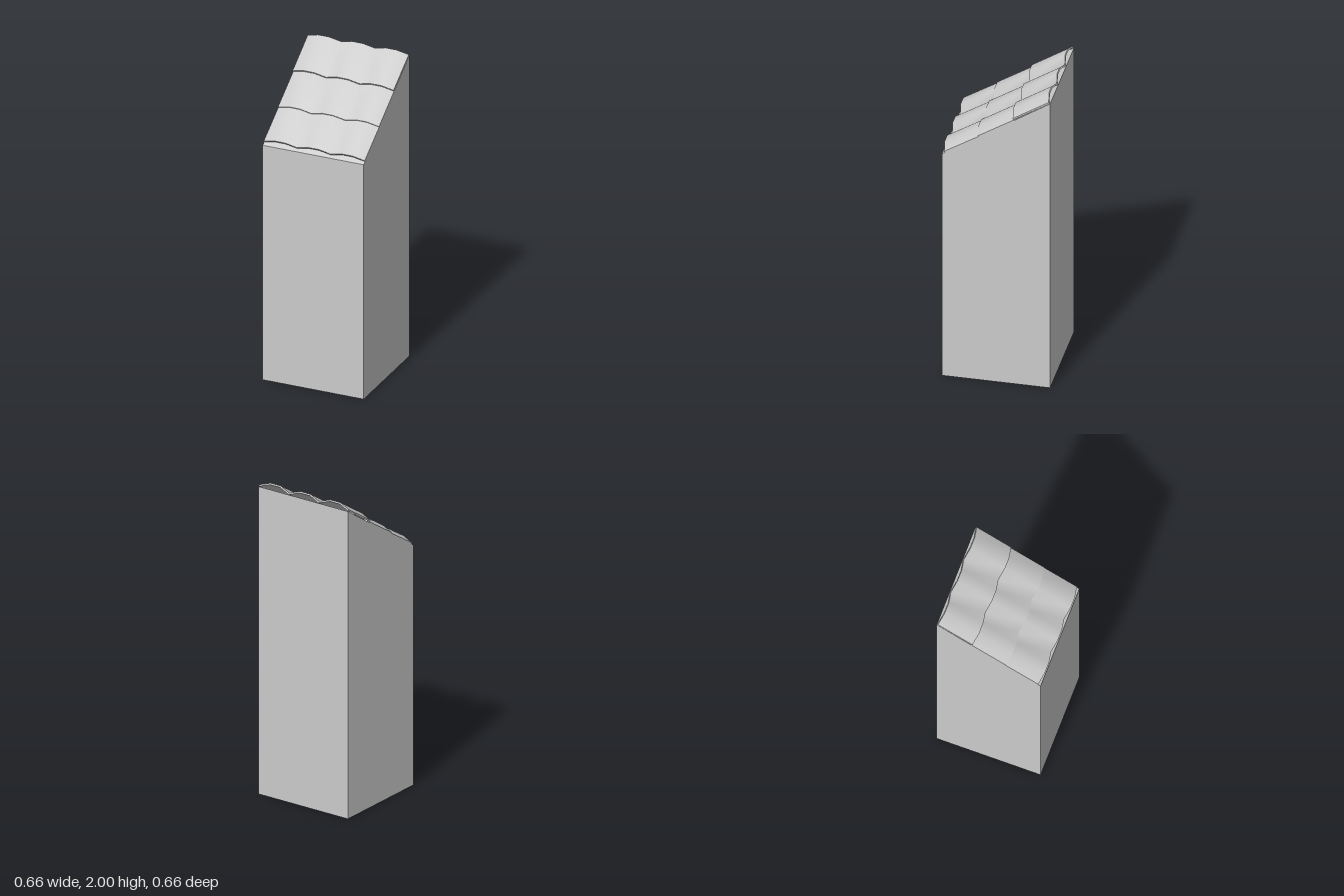
import * as THREE from 'three';
import { toCreasedNormals } from 'three/addons/utils/BufferGeometryUtils.js';

const HALF = 0.328;        // half width and depth of the pillar
const FRONT_TOP = 1.535;   // wall height at the front
const BACK_TOP = 1.968;    // wall height at the back
const WAVES = 3, WAVE_HEIGHT = 0.027, THICKNESS = 0.01;

const material = new THREE.MeshStandardMaterial({ color: 0xcccccc, side: THREE.DoubleSide });

// Square shell with a sloping top and an open bottom
function pillarGeometry() {
  const geo = new THREE.BoxGeometry(2 * HALF, 1, 2 * HALF);
  const pos = geo.attributes.position;
  for (let i = 0; i < pos.count; i++) {
    const top = pos.getZ(i) > 0 ? FRONT_TOP : BACK_TOP;
    pos.setY(i, pos.getY(i) > 0 ? top : 0);
  }
  const index = Array.from(geo.index.array);
  index.splice(18, 6); // drop the bottom face
  geo.setIndex(index);
  geo.clearGroups();
  const flat = geo.toNonIndexed();
  flat.computeVertexNormals();
  return flat;
}

// Thin corrugated sheet: crest tops at y = 0, running from z = 0 to z = -length
function tileGeometry(length) {
  const period = (2 * HALF) / WAVES;
  const top = [];
  for (let i = 0; i < WAVES; i++) {
    const x = -HALF + i * period;
    top.push([x, -WAVE_HEIGHT], [x + period / 3, 0], [x + (2 * period) / 3, 0]);
  }
  top.push([HALF, -WAVE_HEIGHT]);
  const bottom = top.map(([x, y]) => [x, y - THICKNESS]).reverse();
  const shape = new THREE.Shape([...top, ...bottom].map(([x, y]) => new THREE.Vector2(x, y)));
  const geo = new THREE.ExtrudeGeometry(shape, { depth: length, bevelEnabled: false });
  geo.translate(0, 0, -length);
  return toCreasedNormals(geo, 0.8);
}

export function createModel() {
  const model = new THREE.Group();
  model.name = 'tiledPillar';

  const pillar = new THREE.Mesh(pillarGeometry(), material);
  pillar.name = 'pillar';
  model.add(pillar);

  // Overlapping rows, each tilted a little flatter than the slope beneath
  const roof = new THREE.Group();
  roof.name = 'roof';
  const rows = [
    { y: 1.578, z: 0.328, length: 0.255, tilt: 0.56 },
    { y: 1.713, z: 0.123, length: 0.26, tilt: 0.565 },
    { y: 1.86, z: -0.087, length: 0.259, tilt: 0.571 },
  ];
  rows.forEach(({ y, z, length, tilt }, i) => {
    const row = new THREE.Mesh(tileGeometry(length), material);
    row.name = `tileRow${i + 1}`;
    row.position.set(0, y, z);
    row.rotation.x = tilt;
    roof.add(row);
  });
  model.add(roof);

  return model;
}
